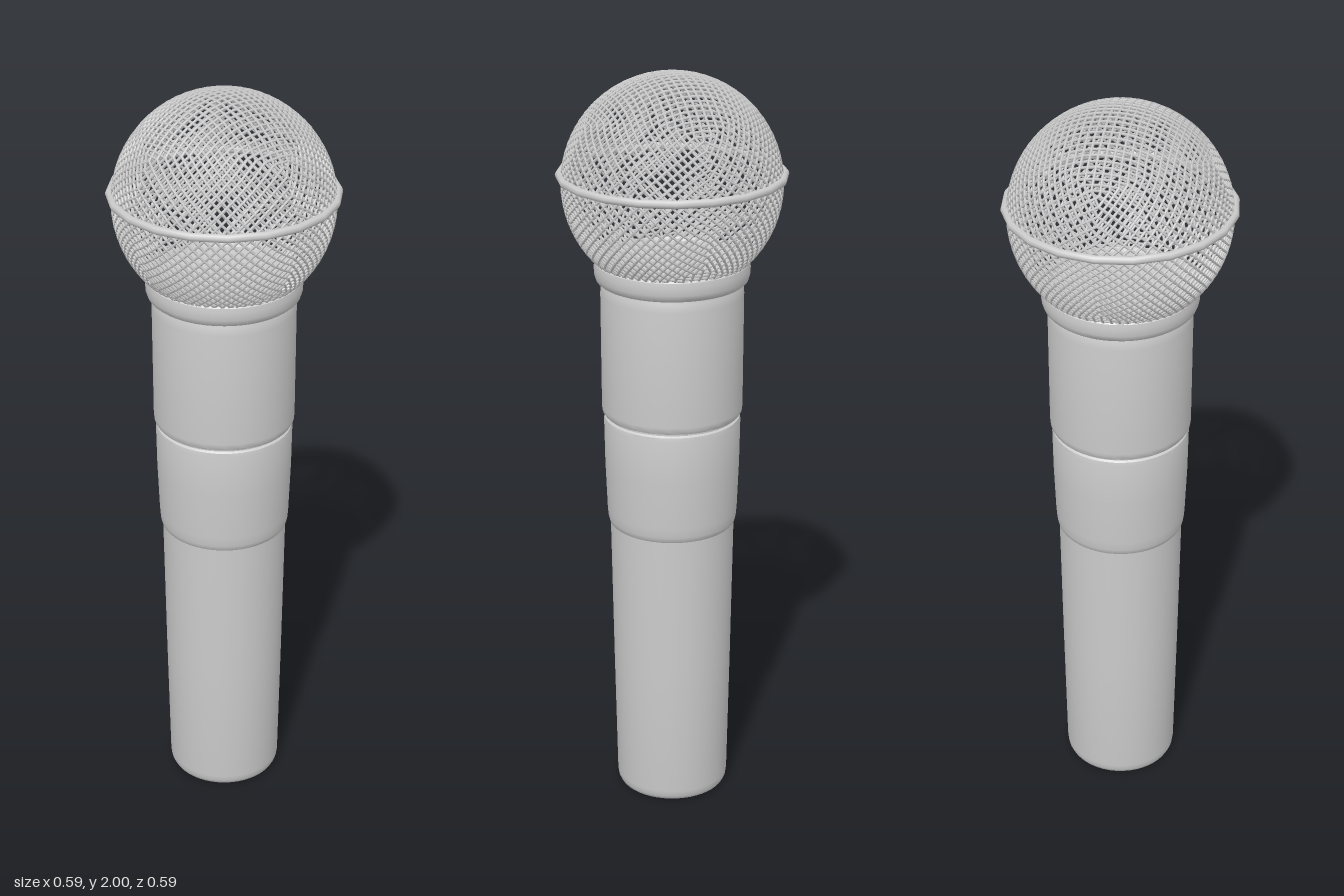
import * as THREE from 'three';
import { mergeGeometries, toCreasedNormals } from 'three/addons/utils/BufferGeometryUtils.js';

const material = new THREE.MeshStandardMaterial({ color: 0xcccccc });
const BALL_R = 0.28, BALL_Y = 1.716, CELLS = 16, WIRE = 0.0038, CUT_Y = 1.49;

function addMesh(group, name, geometry) {
  const mesh = new THREE.Mesh(geometry, material);
  mesh.name = name;
  group.add(mesh);
  return mesh;
}

// Turned part from [radius, height] pairs, listed from bottom to top
function turned(profile, segments = 48) {
  const points = profile.map(([r, y]) => new THREE.Vector2(r, y));
  return toCreasedNormals(new THREE.LatheGeometry(points, segments), 0.6);
}

// Straight round wire between two points
function wire(a, b) {
  const along = b.clone().sub(a);
  const length = along.length();
  const turn = new THREE.Quaternion().setFromUnitVectors(new THREE.Vector3(0, 1, 0), along.normalize());
  return new THREE.CylinderGeometry(WIRE, WIRE, length, 5, 1, true)
    .applyQuaternion(turn)
    .translate((a.x + b.x) / 2, (a.y + b.y) / 2, (a.z + b.z) / 2);
}

// Diagonal lattice on the six faces of a cube, pushed out to a sphere
function grille() {
  const wires = [];
  const slope = i => Math.tan((i / CELLS - 0.5) * Math.PI / 2);
  for (let axis = 0; axis < 3; axis++) {
    for (const side of [-1, 1]) {
      const point = (i, j) => {
        const p = new THREE.Vector3();
        p.setComponent(axis, side);
        p.setComponent((axis + 1) % 3, slope(i));
        p.setComponent((axis + 2) % 3, slope(j));
        p.setLength(BALL_R);
        p.y += BALL_Y;
        return p;
      };
      for (let i = 0; i < CELLS; i++) {
        for (let j = 0; j < CELLS; j++) {
          const pairs = [
            [point(i, j), point(i + 1, j + 1)],
            [point(i + 1, j), point(i, j + 1)],
          ];
          // Wires that would lie inside the collar are left out
          for (const [a, b] of pairs) {
            if (Math.max(a.y, b.y) > CUT_Y) wires.push(wire(a, b));
          }
        }
      }
    }
  }
  return mergeGeometries(wires);
}

export function createModel() {
  const microphone = new THREE.Group();
  microphone.name = 'microphone';

  // Long tapered grip with a flat, rounded-off base
  addMesh(microphone, 'handle', turned([
    [0, 0], [0.138, 0], [0.145, 0.004], [0.15, 0.014], [0.152, 0.03],
    [0.159, 0.4], [0.165, 0.785], [0.165, 0.81],
  ]));

  // Middle sleeve, rounded in where it meets the grip
  addMesh(microphone, 'middleSleeve', turned([
    [0.163, 0.787], [0.168, 0.793], [0.171, 0.805], [0.173, 0.83],
    [0.178, 0.96], [0.18, 1.08], [0.178, 1.09], [0.173, 1.094], [0.173, 1.105],
  ]));

  // Upper sleeve above the groove
  addMesh(microphone, 'upperSleeve', turned([
    [0.172, 1.1], [0.18, 1.101], [0.184, 1.108], [0.185, 1.12],
    [0.186, 1.43], [0.184, 1.452], [0.18, 1.462], [0.18, 1.47],
  ]));

  // Rounded collar with a closed top under the ball
  addMesh(microphone, 'collar', turned([
    [0.178, 1.46], [0.19, 1.461], [0.197, 1.467], [0.201, 1.48],
    [0.202, 1.5], [0.2, 1.513], [0.194, 1.519], [0.185, 1.52], [0.18, 1.51], [0, 1.51],
  ]));

  // Wire mesh ball
  addMesh(microphone, 'grille', grille());

  // Faceted band around the ball
  const band = new THREE.TorusGeometry(0.286, 0.011, 8, 20);
  band.rotateX(Math.PI / 2).rotateY(Math.PI / 20);
  addMesh(microphone, 'band', band).position.y = 1.74;

  return microphone;
}
